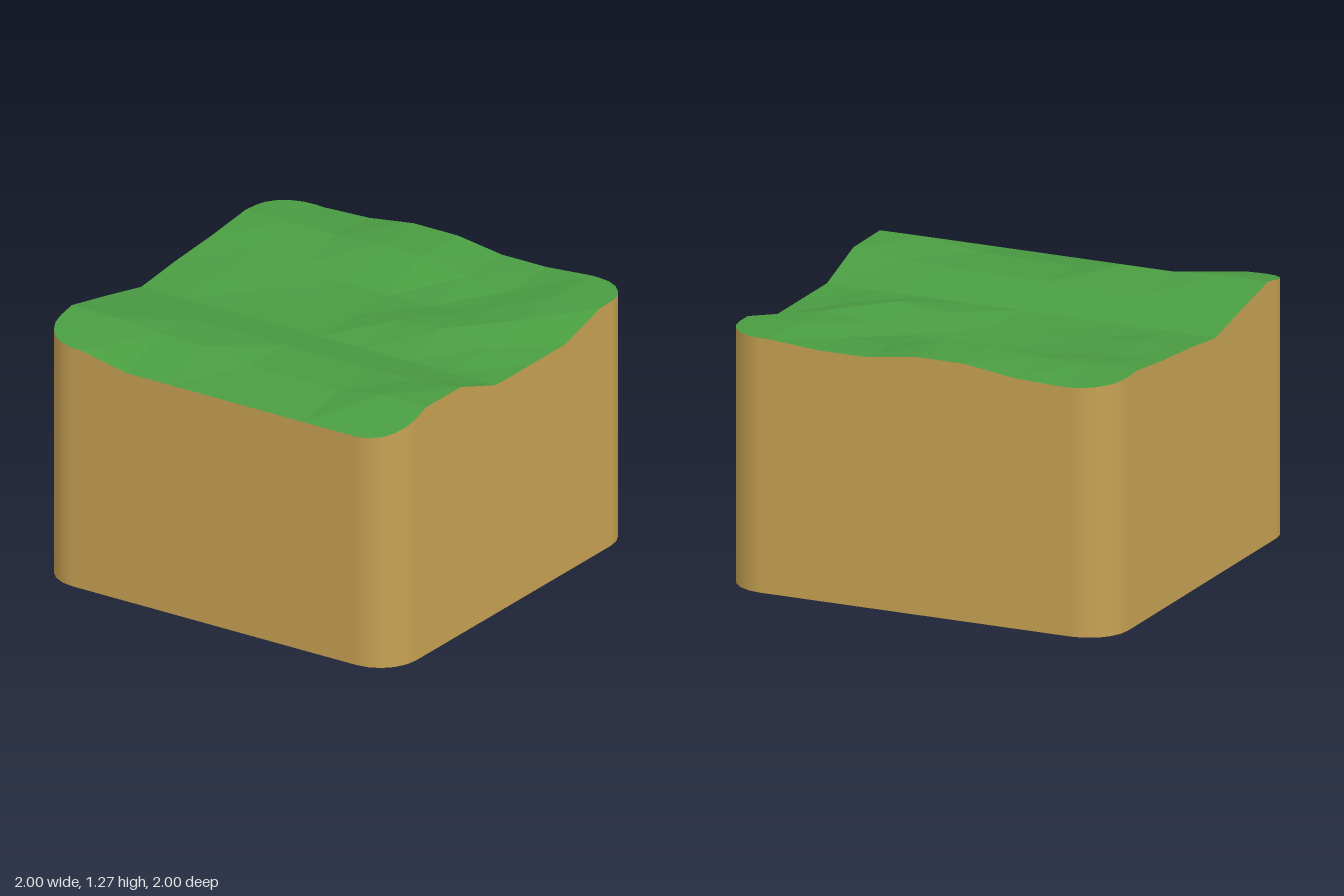
import * as THREE from 'three';

const NX = 8, NZ = 7, R = 0.2, ARC = 5;

// Ground heights: one row per z (back to front), one value per x
const HEIGHTS = [
  [1.22, 1.21, 1.22, 1.255, 1.255, 1.22, 1.22, 1.24, 1.24],
  [1.24, 1.24, 1.24, 1.255, 1.255, 1.21, 1.2, 1.24, 1.24],
  [1.21, 1.2, 1.18, 1.16, 1.16, 1.17, 1.2, 1.22, 1.16],
  [1.19, 1.19, 1.17, 1.16, 1.16, 1.2, 1.22, 1.18, 1.16],
  [1.16, 1.16, 1.16, 1.16, 1.16, 1.16, 1.16, 1.16, 1.16],
  [1.22, 1.22, 1.22, 1.22, 1.22, 1.22, 1.22, 1.23, 1.255],
  [1.275, 1.275, 1.257, 1.257, 1.22, 1.22, 1.22, 1.257, 1.257],
  [1.22, 1.21, 1.16, 1.16, 1.16, 1.16, 1.16, 1.16, 1.16],
];
const gridX = (i) => -1 + (2 * i) / NX;
const gridZ = (j) => -1 + (2 * j) / NZ;

// Bilinear height of the ground at any point
function height(x, z) {
  const u = ((x + 1) / 2) * NX, v = ((z + 1) / 2) * NZ;
  const i = Math.max(0, Math.min(NX - 1, Math.floor(u + 1e-6)));
  const j = Math.max(0, Math.min(NZ - 1, Math.floor(v + 1e-6)));
  const { lerp } = THREE.MathUtils;
  return lerp(
    lerp(HEIGHTS[j][i], HEIGHTS[j][i + 1], u - i),
    lerp(HEIGHTS[j + 1][i], HEIGHTS[j + 1][i + 1], u - i), v - j);
}

// Rounded-square outline, running from +x towards +z, with a point at each grid line
function makeOutline() {
  const points = [], arcStarts = [];
  for (let k = 0; k < 4; k++) {
    const sx = k === 0 || k === 3 ? 1 : -1, sz = k < 2 ? 1 : -1;
    arcStarts.push(points.length);
    for (let a = 0; a <= ARC; a++) {
      const t = (k + a / ARC) * Math.PI / 2, nx = Math.cos(t), nz = Math.sin(t);
      points.push({ x: sx * (1 - R) + R * nx, z: sz * (1 - R) + R * nz, nx, nz });
    }
    const n = k % 2 ? NZ : NX, dir = k < 2 ? -1 : 1;
    for (let i = 1; i < n; i++) {
      const s = dir * (-1 + (2 * i) / n);
      points.push(k % 2
        ? { x: sx, z: s, nx: sx, nz: 0 }
        : { x: s, z: sz, nx: 0, nz: sz });
    }
  }
  return { points, arcStarts };
}

function makeMesh(name, color, positions, normals, flatShading = false) {
  const geometry = new THREE.BufferGeometry();
  geometry.setAttribute('position', new THREE.Float32BufferAttribute(positions, 3));
  if (normals) geometry.setAttribute('normal', new THREE.Float32BufferAttribute(normals, 3));
  else geometry.computeVertexNormals();
  const mesh = new THREE.Mesh(geometry, new THREE.MeshStandardMaterial({ color, flatShading }));
  mesh.name = name;
  return mesh;
}

export function createModel() {
  const group = new THREE.Group();
  group.name = 'terrainBlock';
  const { points, arcStarts } = makeOutline();
  const count = points.length;
  const at = (i) => points[(i + count) % count];

  // Grass: faceted cells, with the four corner cells cut round
  const grass = [];
  const addTop = (...corners) => {
    for (const [x, z] of corners) grass.push(x, height(x, z), z);
  };
  for (let j = 0; j < NZ; j++) {
    for (let i = 0; i < NX; i++) {
      if ((i === 0 || i === NX - 1) && (j === 0 || j === NZ - 1)) continue;
      const x0 = gridX(i), x1 = gridX(i + 1), z0 = gridZ(j), z1 = gridZ(j + 1);
      addTop([x0, z0], [x0, z1], [x1, z0]);
      addTop([x0, z1], [x1, z1], [x1, z0]);
    }
  }
  for (const start of arcStarts) {
    const p = at(start + 2);
    const inner = [Math.sign(p.x) * gridX(NX - 1), Math.sign(p.z) * gridZ(NZ - 1)];
    for (let i = start - 1; i <= start + ARC; i++) {
      addTop(inner, [at(i + 1).x, at(i + 1).z], [at(i).x, at(i).z]);
    }
  }
  group.add(makeMesh('grass', 0x4a9c42, grass, null, true));

  // Earth walls with smooth rounded corners, and the flat underside
  const walls = [], wallNormals = [], base = [];
  for (let i = 0; i < count; i++) {
    const a = at(i), b = at(i + 1);
    const ha = height(a.x, a.z), hb = height(b.x, b.z);
    for (const [p, y] of [[a, 0], [a, ha], [b, 0], [a, ha], [b, hb], [b, 0]]) {
      walls.push(p.x, y, p.z);
      wallNormals.push(p.nx, 0, p.nz);
    }
    base.push(0, 0, 0, a.x, 0, a.z, b.x, 0, b.z);
  }
  group.add(makeMesh('earthWalls', 0xc8a253, walls, wallNormals));
  group.add(makeMesh('earthBase', 0xc8a253, base));
  return group;
}
